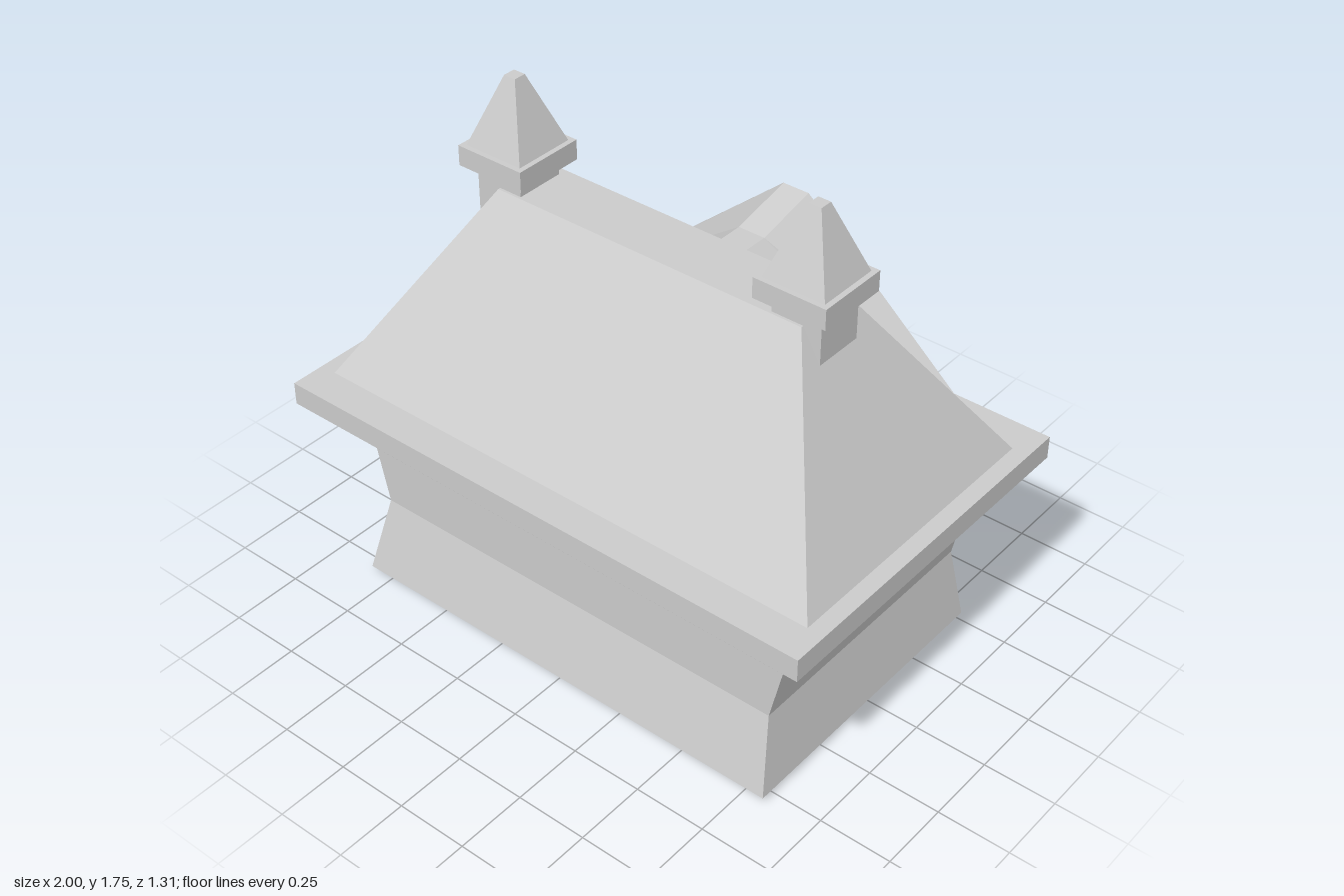
import * as THREE from 'three';

const material = new THREE.MeshStandardMaterial({ color: 0xcccccc, flatShading: true });
const shellMaterial = new THREE.MeshStandardMaterial({ color: 0xcccccc, flatShading: true, side: THREE.DoubleSide });

// Horizontal rectangle, counter-clockwise from above
const rect = (y, x0, x1, z0, z1) => [[x0, y, z1], [x1, y, z1], [x1, y, z0], [x0, y, z0]];

// Symmetric trapezoid facing the back: bottom and top half widths, heights and depths
const trapezoid = (bw, by, bz, tw, ty, tz) => [[bw, by, bz], [-bw, by, bz], [-tw, ty, tz], [tw, ty, tz]];

// Skin of flat faces through a list of cross-sections, optionally closed at both ends
function loft(name, rings, open = false) {
  const n = rings[0].length;
  const index = [];
  for (let r = 0; r < rings.length - 1; r++) {
    for (let i = 0; i < n; i++) {
      const j = (i + 1) % n;
      const a = r * n + i, b = r * n + j, c = a + n, d = b + n;
      index.push(a, b, d, a, d, c);
    }
  }
  if (!open) {
    const last = (rings.length - 1) * n;
    for (let i = 1; i < n - 1; i++) {
      index.push(0, i + 1, i);
      index.push(last, last + i, last + i + 1);
    }
  }
  const indexed = new THREE.BufferGeometry();
  indexed.setAttribute('position', new THREE.Float32BufferAttribute(rings.flat(2), 3));
  indexed.setIndex(index);
  const geometry = indexed.toNonIndexed();
  geometry.computeVertexNormals();
  const mesh = new THREE.Mesh(geometry, open ? shellMaterial : material);
  mesh.name = name;
  return mesh;
}

// Shaft, cap slab and blunt spire
function createChimney(name, x) {
  const chimney = new THREE.Group();
  chimney.name = name;
  const square = (y, h) => rect(y, -h, h, -h, h);
  chimney.add(
    loft('chimneyShaft', [square(1.1, 0.088), square(1.44, 0.088)]),
    loft('chimneyCap', [square(1.44, 0.128), square(1.51, 0.128)]),
    loft('chimneySpire', [square(1.51, 0.11), square(1.745, 0.022)])
  );
  chimney.position.set(x, 0, 0.018);
  return chimney;
}

// Bevelled octagonal disc set into the gable
function createDisc(x, y, radius, front) {
  const depth = front - 0.59;
  const geometry = new THREE.CylinderGeometry(radius * 0.74, radius, depth, 8);
  geometry.rotateY(Math.PI / 8);
  geometry.rotateX(-Math.PI / 2);
  const disc = new THREE.Mesh(geometry, material);
  disc.name = 'gableDisc';
  disc.position.set(x, y, -0.59 - depth / 2);
  return disc;
}

export function createModel() {
  const model = new THREE.Group();
  model.name = 'house';

  // Walls, pinched at the waist and open underneath
  model.add(loft('walls', [
    rect(0.02, -0.83, 0.825, -0.51, 0.555),
    rect(0.285, -0.785, 0.785, -0.475, 0.485),
    rect(0.48, -0.83, 0.83, -0.46, 0.485),
    rect(0.7, -0.88, 0.88, -0.513, 0.545)
  ], true));

  // Eave slab, hollow below
  model.add(loft('eaves', [
    rect(0.755, -0.943, 0.943, -0.515, 0.547),
    rect(0.68, -0.943, 0.943, -0.515, 0.547),
    rect(0.68, -1, 1, -0.635, 0.655),
    rect(0.76, -1, 1, -0.635, 0.655)
  ]));

  // Hipped roof with a flat top
  model.add(loft('roof', [
    rect(0.758, -0.943, 0.943, -0.515, 0.535),
    rect(1.39, -0.58, 0.58, -0.1, 0.115)
  ]));

  model.add(createChimney('rightChimney', -0.583), createChimney('leftChimney', 0.555));

  // Gable at the back: roof contact, crease, rim, opening, recessed panel
  const gable = new THREE.Group();
  gable.name = 'gable';
  gable.add(loft('gableShell', [
    trapezoid(0.66, 0.758, -0.515, 0.05, 1.21, -0.22),
    trapezoid(0.66, 0.758, -0.515, 0.05, 1.21, -0.41),
    trapezoid(0.66, 0.745, -0.638, 0.05, 1.265, -0.638),
    trapezoid(0.605, 0.768, -0.638, 0.035, 1.235, -0.638),
    trapezoid(0.605, 0.768, -0.6, 0.035, 1.235, -0.6)
  ]));
  gable.add(createDisc(0, 0.98, 0.2, 0.643));
  for (const s of [-1, 1]) {
    gable.add(createDisc(s * 0.295, 0.905, 0.092, 0.63));
    gable.add(createDisc(s * 0.425, 0.83, 0.066, 0.63));
  }
  model.add(gable);

  // Porch canopy, wider at the top
  model.add(loft('porchCanopy', [
    rect(0.525, -0.33, 0.33, -0.585, -0.45),
    rect(0.635, -0.453, 0.453, -0.656, -0.45)
  ]));

  // Porch posts with feet flaring outwards
  for (const s of [-1, 1]) {
    const level = (y, inner, outer) =>
      rect(y, Math.min(s * inner, s * outer), Math.max(s * inner, s * outer), -0.585, -0.43);
    model.add(loft(s > 0 ? 'leftPost' : 'rightPost', [
      level(0, 0.177, 0.337),
      level(0.16, 0.185, 0.285),
      level(0.53, 0.175, 0.285)
    ]));
  }

  return model;
}
